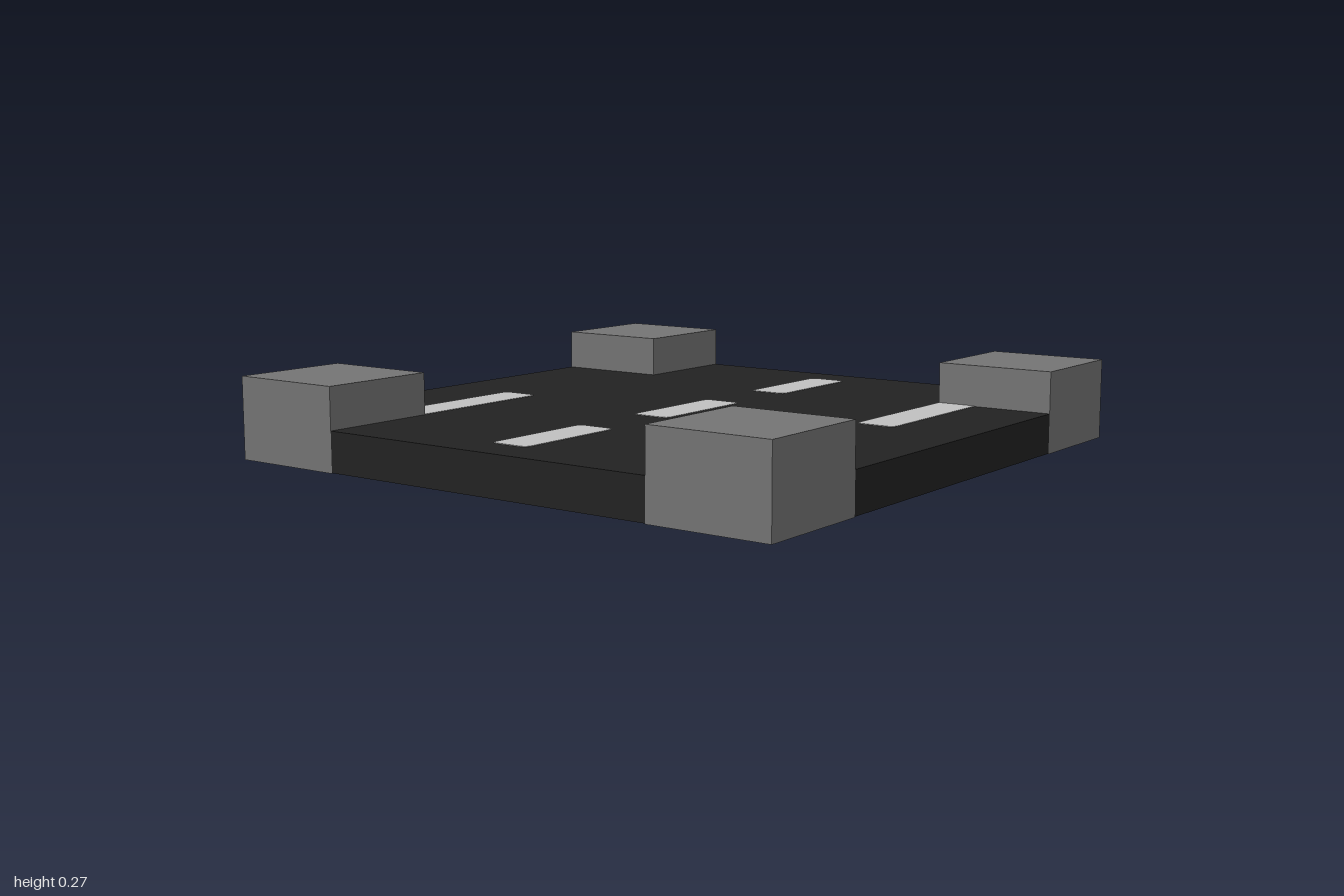
import * as THREE from 'three';

const ROAD_TOP = 0.133, KERB_TOP = 0.267, INNER = 0.6, LIP = 0.002;

// Rectangle in plan with separately chosen corner cuts at its left and right ends
function stripeShape(x0, x1, z0, z1, cutLeft, cutRight) {
  const s = new THREE.Shape();
  const y0 = -z1, y1 = -z0;
  s.moveTo(x0 + cutLeft, y0);
  s.lineTo(x1 - cutRight, y0);
  s.quadraticCurveTo(x1, y0, x1, y0 + cutRight);
  s.lineTo(x1, y1 - cutRight);
  s.quadraticCurveTo(x1, y1, x1 - cutRight, y1);
  s.lineTo(x0 + cutLeft, y1);
  s.quadraticCurveTo(x0, y1, x0, y1 - cutLeft);
  s.lineTo(x0, y0 + cutLeft);
  s.quadraticCurveTo(x0, y0, x0 + cutLeft, y0);
  return s;
}

// Extrudes a plan shape upwards from y = bottom to y = top
function slab(shape, bottom, top) {
  const g = new THREE.ExtrudeGeometry(shape, { depth: top - bottom, bevelEnabled: false, curveSegments: 2 });
  g.rotateX(-Math.PI / 2);
  g.translate(0, bottom, 0);
  return g;
}

export function createModel() {
  const asphalt = new THREE.MeshStandardMaterial({ color: 0x222222 });
  asphalt.name = 'asphalt';
  const concrete = new THREE.MeshStandardMaterial({ color: 0x747474 });
  concrete.name = 'concrete';
  const paint = new THREE.MeshStandardMaterial({ color: 0xc0c0c0 });
  paint.name = 'roadPaint';

  const model = new THREE.Group();
  model.name = 'roadCrossing';
  const add = (name, geometry, material) => {
    const mesh = new THREE.Mesh(geometry, material);
    mesh.name = name;
    model.add(mesh);
    return mesh;
  };

  // Cross-shaped road bed
  const plan = [[-1, -INNER], [-INNER, -INNER], [-INNER, -1], [INNER, -1], [INNER, -INNER], [1, -INNER],
    [1, INNER], [INNER, INNER], [INNER, 1], [-INNER, 1], [-INNER, INNER], [-1, INNER]];
  const cross = new THREE.Shape(plan.map(([x, y]) => new THREE.Vector2(x, y)));
  add('roadBed', slab(cross, LIP, ROAD_TOP - LIP), asphalt);

  // Raised pavement corners
  const size = 1 - INNER;
  for (const sx of [-1, 1]) {
    for (const sz of [-1, 1]) {
      const block = add('pavementCorner', new THREE.BoxGeometry(size, KERB_TOP, size), concrete);
      block.position.set(sx * (1 - size / 2), KERB_TOP / 2, sz * (1 - size / 2));
    }
  }

  // Centre line dashes, set through the road
  for (const x of [-0.667, 0, 0.667]) {
    add('centreDash', slab(stripeShape(x - 0.2, x + 0.2, -0.067, 0.067, 0.02, 0.02), 0, ROAD_TOP), paint);
  }

  // Stop lines beside two opposite corners
  add('backStopLine', slab(stripeShape(-INNER, -0.067, -0.733, -INNER, 0, 0.02), 0, ROAD_TOP), paint);
  add('frontStopLine', slab(stripeShape(0.067, INNER, INNER, 0.733, 0.02, 0), 0, ROAD_TOP), paint);

  return model;
}
